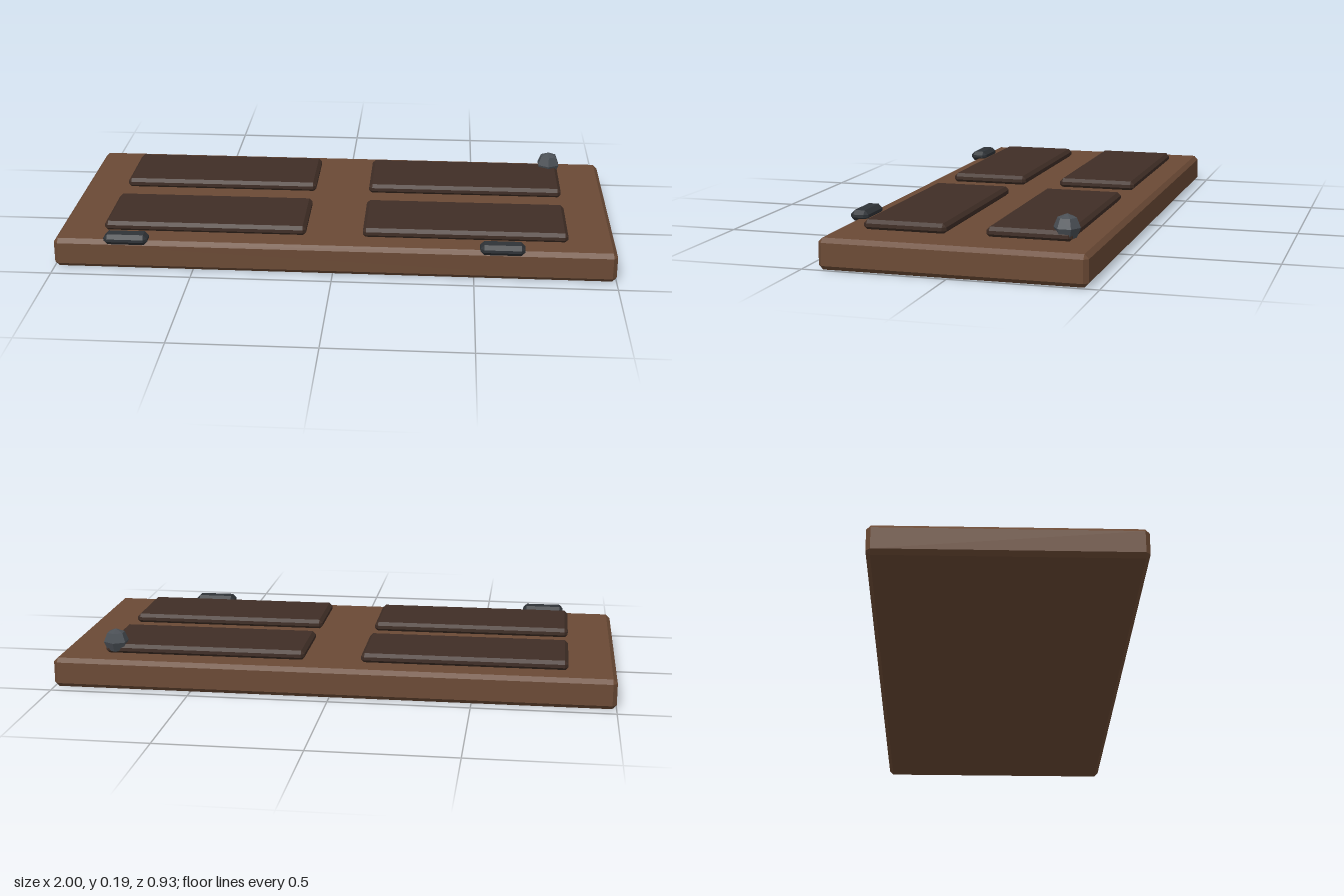
import * as THREE from 'three';
import { ConvexGeometry } from 'three/addons/geometries/ConvexGeometry.js';

const material = (color) => new THREE.MeshStandardMaterial({ color, flatShading: true });

// Box with every edge and corner cut by one flat chamfer
function chamferBox(w, h, d, c) {
  const half = [w / 2, h / 2, d / 2];
  const points = [];
  for (const sx of [-1, 1]) for (const sy of [-1, 1]) for (const sz of [-1, 1]) {
    for (let face = 0; face < 3; face++) {
      const [x, y, z] = half.map((v, axis) => (axis === face ? v : v - c));
      points.push(new THREE.Vector3(sx * x, sy * y, sz * z));
    }
  }
  return new ConvexGeometry(points);
}

export function createModel() {
  const model = new THREE.Group();
  model.name = 'door';
  const add = (name, geometry, mat, x, y, z) => {
    const mesh = new THREE.Mesh(geometry, mat);
    mesh.name = name;
    mesh.position.set(x, y, z);
    model.add(mesh);
    return mesh;
  };

  // Door slab, lying flat
  add('slab', chamferBox(2, 0.107, 0.907, 0.015), material(0x6b4a35), 0, 0.0535, -0.009);

  // Four raised panels
  const panelGeometry = chamferBox(0.73, 0.036, 0.29, 0.012);
  const panelMaterial = material(0x402e26);
  for (const x of [-0.467, 0.467]) {
    for (const z of [0.206, -0.222]) add('panel', panelGeometry, panelMaterial, x, 0.122, z);
  }

  // Two hinges on the front edge
  const hingeGeometry = chamferBox(0.157, 0.038, 0.065, 0.014);
  const hingeMaterial = material(0x2f3337);
  for (const x of [-0.736, 0.598]) add('hinge', hingeGeometry, hingeMaterial, x, 0.116, 0.432);

  // Faceted knob
  const knob = add('knob', new THREE.SphereGeometry(0.046, 6, 4), material(0x4a4f55), 0.797, 0.148, -0.343);
  knob.rotation.y = Math.PI / 2;

  return model;
}
